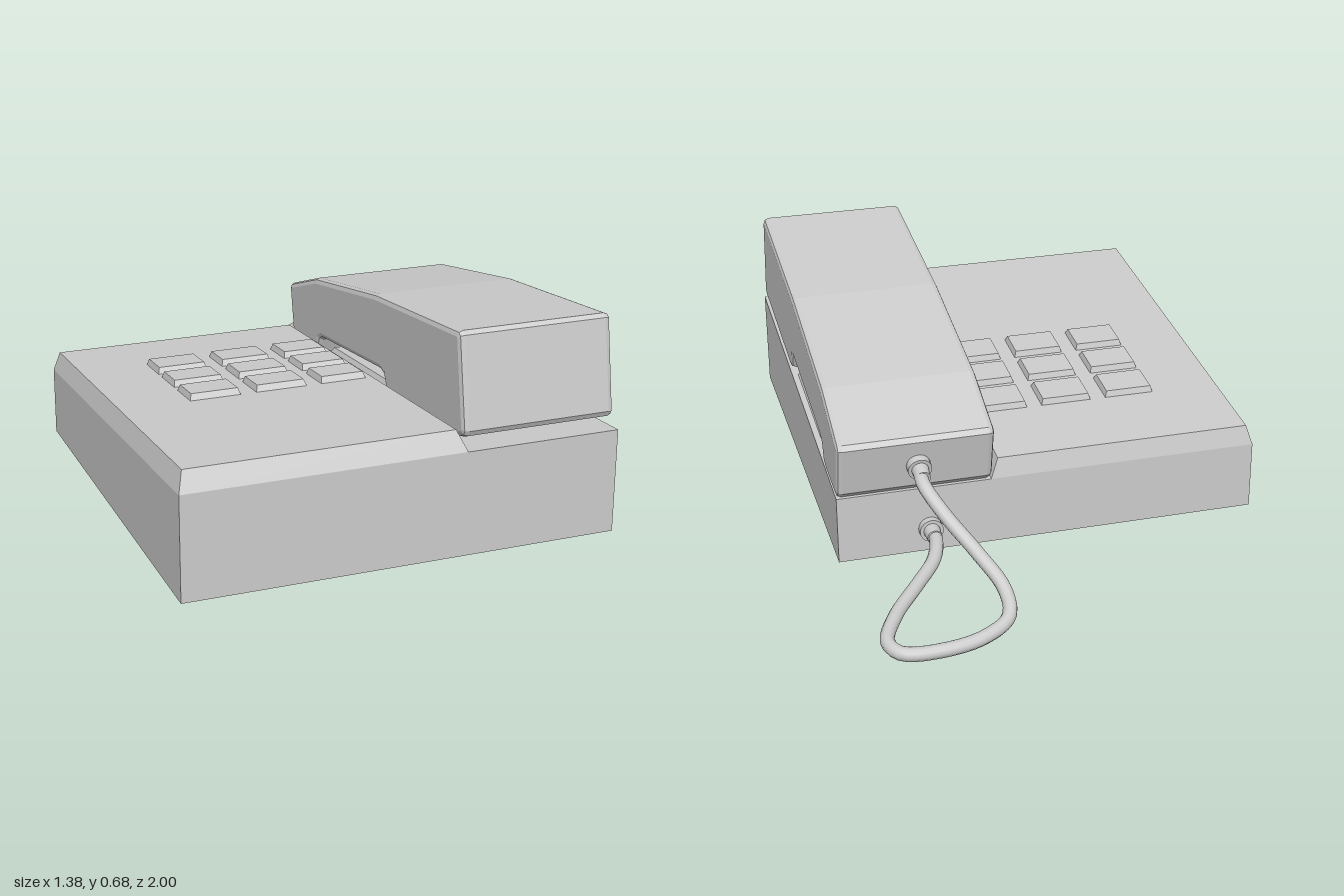
import * as THREE from 'three';

const grey = new THREE.MeshStandardMaterial({ color: 0xcccccc });

function part(parent, name, geometry) {
  const mesh = new THREE.Mesh(geometry, grey);
  mesh.name = name;
  parent.add(mesh);
  return mesh;
}

// Height of the sloped cradle floor and of the raised deck at depth z
const floorY = (z) => 0.345 - (1 - z) * 0.075;
const deckY = (z) => floorY(z) + 0.063;

// Six-sided block between two rectangles [x0, x1, z0, z1], each with its own height rule
function slopedBlock(low, lowY, high, highY) {
  const ring = ([x0, x1, z0, z1], y) =>
    [[x0, z1], [x1, z1], [x1, z0], [x0, z0]].map(([x, z]) => [x, y(z), z]);
  const b = ring(low, lowY), t = ring(high, highY);
  const quads = [[...t], [b[3], b[2], b[1], b[0]]];
  for (let i = 0; i < 4; i++) {
    const j = (i + 1) % 4;
    quads.push([b[i], b[j], t[j], t[i]]);
  }
  const pos = [];
  for (const [p, q, r, s] of quads) pos.push(...p, ...q, ...r, ...p, ...r, ...s);
  const g = new THREE.BufferGeometry();
  g.setAttribute('position', new THREE.Float32BufferAttribute(pos, 3));
  g.computeVertexNormals();
  return g;
}

// Side profile in (z, y), extruded along x with chamfered edges
function sideExtrude(points, x0, x1, bevel) {
  const shape = new THREE.Shape(points.map(([z, y]) => new THREE.Vector2(-z, y)));
  const g = new THREE.ExtrudeGeometry(shape, {
    depth: x1 - x0 - 2 * bevel, bevelEnabled: true, bevelSize: bevel,
    bevelThickness: bevel, bevelOffset: -bevel, bevelSegments: 2,
  });
  g.rotateY(Math.PI / 2);
  g.translate(x0 + bevel, 0, 0);
  return g;
}

// Flange and strain relief pointing backwards, tilted about x
function cordPlug(parent, name, x, y, z, tilt) {
  const plug = new THREE.Group();
  plug.name = name;
  const flange = part(plug, 'flange', new THREE.CylinderGeometry(0.038, 0.038, 0.03, 20));
  flange.position.y = 0.008;
  const sleeve = part(plug, 'sleeve', new THREE.CylinderGeometry(0.024, 0.028, 0.06, 20));
  sleeve.position.y = 0.035;
  plug.rotation.x = -Math.PI / 2 + tilt;
  plug.position.set(x, y, z);
  parent.add(plug);
}

export function createModel() {
  const phone = new THREE.Group();
  phone.name = 'deskTelephone';

  // Body: wedge base with a chamfered deck on one side
  const base = [-0.69, 0.685, -0.4, 1];
  part(phone, 'base', slopedBlock(base, () => 0.015, base, floorY));
  part(phone, 'deck', slopedBlock([-0.69, 0.19, -0.4, 1], floorY, [-0.67, 0.165, -0.385, 0.965], deckY));

  // Raised rest in the cradle, under the handset grip
  part(phone, 'cradleRest', slopedBlock(
    [0.21, 0.665, -0.14, 0.395], floorY,
    [0.23, 0.645, -0.12, 0.37], (z) => floorY(z) + 0.036));

  // Keypad: three by three bevelled keys following the slope
  const keypad = new THREE.Group();
  keypad.name = 'keypad';
  const columns = [[-0.445, -0.28], [-0.228, -0.06], [-0.01, 0.142]];
  const rows = [[-0.107, 0.025], [0.06, 0.19], [0.225, 0.355]];
  for (const [z0, z1] of rows) {
    for (const [x0, x1] of columns) {
      part(keypad, 'key', slopedBlock([x0, x1, z0, z1], deckY,
        [x0 + 0.006, x1 - 0.006, z0 + 0.006, z1 - 0.012], (z) => deckY(z) + 0.02));
    }
  }
  phone.add(keypad);

  // Handset: bent back, sloping ends and a hollow under the grip
  part(phone, 'handset', sideExtrude([
    [0.97, 0.395], [0.922, 0.675], [0.908, 0.686], [0.31, 0.62], [-0.2, 0.527],
    [-0.435, 0.442], [-0.446, 0.425], [-0.412, 0.262], [-0.388, 0.24], [-0.22, 0.25],
    [-0.185, 0.262], [-0.165, 0.315], [-0.145, 0.328], [0.355, 0.382], [0.38, 0.375],
    [0.405, 0.325], [0.425, 0.316], [0.935, 0.366], [0.962, 0.378],
  ], 0.188, 0.685, 0.018));

  // Cord looping out behind the phone
  cordPlug(phone, 'handsetPlug', 0.43, 0.34, -0.432, -0.2);
  cordPlug(phone, 'basePlug', 0.39, 0.095, -0.4, 0);
  const path = new THREE.CatmullRomCurve3([
    [0.43, 0.335, -0.45], [0.435, 0.32, -0.52], [0.39, 0.255, -0.61], [0.32, 0.175, -0.71],
    [0.262, 0.1, -0.82], [0.27, 0.055, -0.9], [0.36, 0.032, -0.955], [0.5, 0.024, -0.978],
    [0.61, 0.027, -0.965], [0.638, 0.035, -0.91], [0.59, 0.05, -0.8], [0.5, 0.065, -0.68],
    [0.42, 0.08, -0.57], [0.39, 0.092, -0.48], [0.39, 0.095, -0.41],
  ].map((p) => new THREE.Vector3(...p)));
  part(phone, 'cord', new THREE.TubeGeometry(path, 72, 0.022, 12, false));

  return phone;
}
